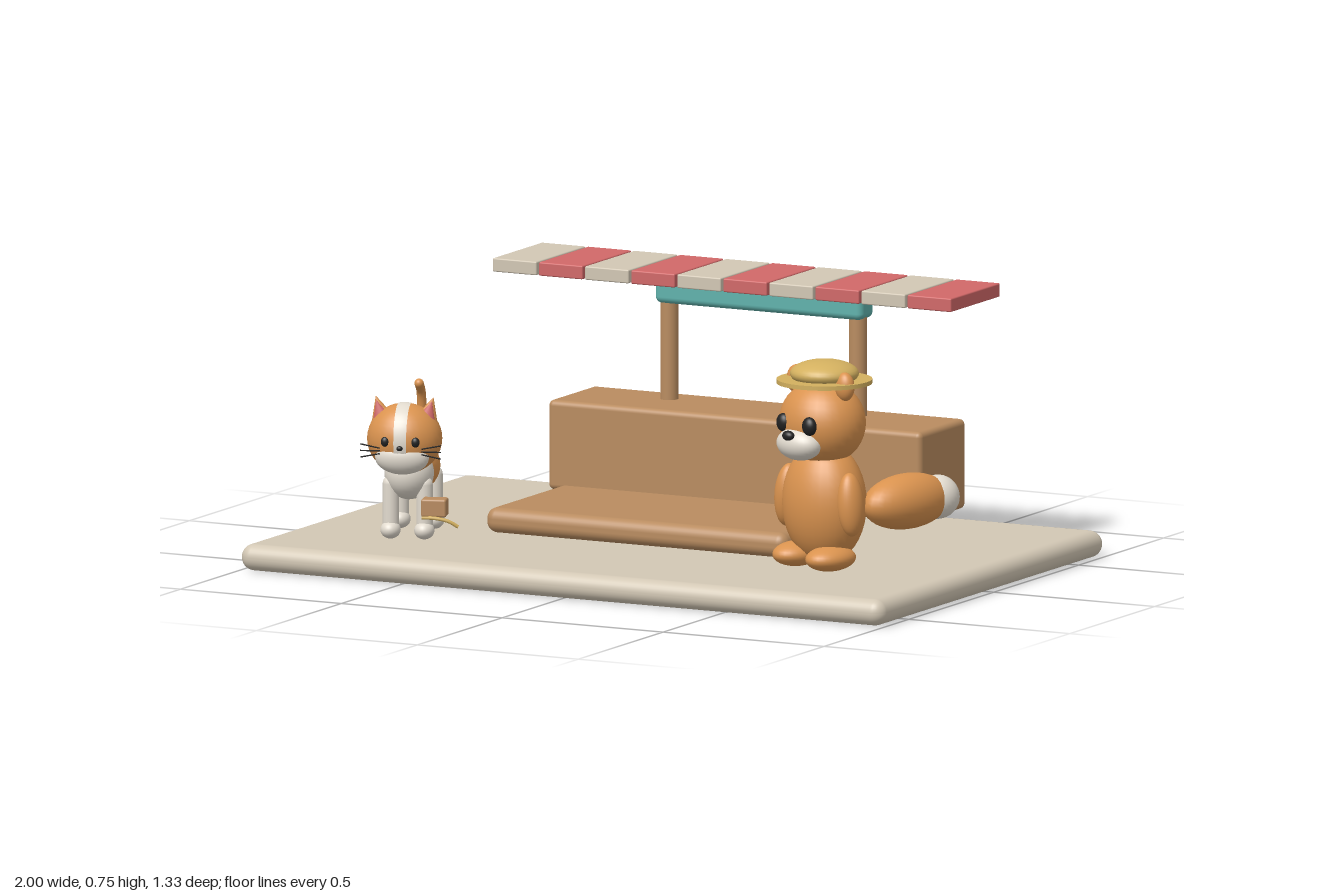
import * as THREE from 'three';
import { RoundedBoxGeometry } from 'three/addons/geometries/RoundedBoxGeometry.js';

const mat = (name, color) => {
  const m = new THREE.MeshStandardMaterial({ color });
  m.name = name;
  return m;
};
const M = {
  cream: mat('cream', 0xd2c7b4),
  wood: mat('wood', 0xb98c60),
  red: mat('coral red', 0xd16868),
  teal: mat('teal', 0x60b2ac),
  orange: mat('orange fur', 0xda934f),
  white: mat('white fur', 0xe2dbcf),
  straw: mat('straw', 0xd3b05f),
  black: mat('black', 0x222222),
};

function add(parent, name, geo, material, x, y, z) {
  const m = new THREE.Mesh(geo, material);
  m.name = name;
  m.position.set(x, y, z);
  parent.add(m);
  return m;
}
const rbox = (p, name, m, w, h, d, r, x, y, z) =>
  add(p, name, new RoundedBoxGeometry(w, h, d, 4, r), m, x, y, z);
const ball = (p, name, m, rx, ry, rz, x, y, z) =>
  add(p, name, new THREE.SphereGeometry(1, 32, 20).scale(rx, ry, rz), m, x, y, z);
const tube = (p, name, m, r, pts) =>
  add(p, name, new THREE.TubeGeometry(
    new THREE.CatmullRomCurve3(pts.map((a) => new THREE.Vector3(...a))), 24, r, 10), m, 0, 0, 0);

function group(name, x, z, yaw) {
  const g = new THREE.Group();
  g.name = name;
  g.position.set(x, 0, z);
  g.rotation.y = yaw;
  return g;
}

// Counter, posts, beam and striped awning
function stall() {
  const g = group('stall', 0, 0, 0);
  rbox(g, 'counter', M.wood, 1.16, 0.25, 0.27, 0.016, 0, 0.23, -0.5);
  for (const s of [-1, 1]) {
    add(g, 'post', new THREE.CylinderGeometry(0.025, 0.025, 0.59, 24), M.wood, s * 0.293, 0.37, -0.54);
  }
  rbox(g, 'beam', M.teal, 0.645, 0.09, 0.08, 0.018, 0, 0.67, -0.543);
  for (let i = 0; i < 10; i++) {
    rbox(g, 'awningSlat', i % 2 ? M.red : M.cream, 0.136, 0.038, 0.29, 0.004,
      (i - 4.5) * 0.1432, 0.732, -0.438);
  }
  return g;
}

// Plump standing animal with straw hat and bushy tail
function hatAnimal() {
  const g = group('hatAnimal', 0.64, 0.315, -0.3);
  ball(g, 'body', M.orange, 0.127, 0.17, 0.106, 0, 0.27, 0);
  ball(g, 'head', M.orange, 0.126, 0.118, 0.114, 0, 0.495, 0.008);
  ball(g, 'muzzle', M.white, 0.073, 0.046, 0.05, 0, 0.445, 0.098);
  ball(g, 'nose', M.black, 0.02, 0.014, 0.014, 0, 0.472, 0.14);
  for (const s of [-1, 1]) {
    ball(g, 'eye', M.black, 0.023, 0.026, 0.018, s * 0.05, 0.5, 0.108);
    ball(g, 'ear', M.orange, 0.03, 0.04, 0.024, s * 0.094, 0.605, 0.015);
    const arm = ball(g, 'arm', M.orange, 0.035, 0.088, 0.04, s * 0.122, 0.28, 0.02);
    arm.rotation.z = s * 0.08;
    ball(g, 'foot', M.orange, 0.058, 0.035, 0.08, s * 0.064, 0.126, 0.04);
  }
  ball(g, 'tail', M.orange, 0.076, 0.077, 0.155, 0.125, 0.265, -0.195);
  ball(g, 'tailTip', M.white, 0.06, 0.061, 0.062, 0.135, 0.265, -0.305);
  // straw hat
  add(g, 'hatBrim', new THREE.CylinderGeometry(0.132, 0.132, 0.012, 40), M.straw, 0, 0.609, 0);
  ball(g, 'hatCrown', M.straw, 0.095, 0.038, 0.095, 0, 0.63, 0);
  return g;
}

// Small four-legged cat carrying a little box
function cat() {
  const g = group('cat', -0.64, 0.31, 0.33);
  ball(g, 'body', M.orange, 0.07, 0.07, 0.13, 0, 0.265, -0.015);
  ball(g, 'chest', M.white, 0.068, 0.073, 0.075, 0, 0.262, 0.075);
  for (const s of [-1, 1]) {
    for (const z of [0.1, -0.075]) {
      add(g, 'leg', new THREE.CapsuleGeometry(0.023, 0.11, 6, 16), M.white, s * 0.047, 0.18, z);
      ball(g, 'paw', M.white, 0.028, 0.025, 0.032, s * 0.047, 0.108, z + 0.006);
    }
  }
  tube(g, 'tail', M.orange, 0.013, [[0, 0.28, -0.11], [0, 0.32, -0.143], [0, 0.4, -0.15],
    [0, 0.455, -0.135], [0, 0.482, -0.1]]);
  ball(g, 'tailEnd', M.orange, 0.013, 0.013, 0.013, 0, 0.482, -0.1);

  // head with a pale stripe and muzzle
  const h = group('catHead', 0, 0.155, 0);
  h.position.y = 0.372;
  g.add(h);
  ball(h, 'skull', M.orange, 0.104, 0.098, 0.09, 0, 0, 0);
  const stripe = new THREE.SphereGeometry(1, 40, 6, 0, Math.PI * 2, Math.PI / 2 - 0.17, 0.34);
  add(h, 'headStripe', stripe.rotateZ(Math.PI / 2).scale(0.105, 0.0995, 0.0915), M.white, 0, 0, 0);
  ball(h, 'muzzle', M.white, 0.075, 0.048, 0.042, 0, -0.045, 0.048);
  ball(h, 'nose', M.black, 0.009, 0.007, 0.007, 0, -0.014, 0.092);
  for (const s of [-1, 1]) {
    const ear = add(h, 'ear', new THREE.ConeGeometry(0.034, 0.07, 20).scale(1, 1, 0.6), M.orange,
      s * 0.07, 0.083, 0);
    ear.rotation.z = -s * 0.3;
    const inner = add(h, 'innerEar', new THREE.ConeGeometry(0.025, 0.054, 20).scale(1, 1, 0.5), M.red,
      s * 0.07, 0.081, 0.011);
    inner.rotation.z = -s * 0.3;
    ball(h, 'eye', M.black, 0.012, 0.014, 0.009, s * 0.042, 0.002, 0.08);
    for (let i = -1; i <= 1; i++) {
      const w = add(h, 'whisker', new THREE.CylinderGeometry(0.002, 0.002, 0.055, 6), M.black,
        s * 0.085, -0.025 + i * 0.013, 0.073);
      w.rotation.z = Math.PI / 2 + s * i * 0.2;
    }
  }

  // carried box with its strap
  rbox(g, 'carriedBox', M.wood, 0.07, 0.05, 0.05, 0.006, 0.082, 0.18, 0.145);
  tube(g, 'boxStrap', M.straw, 0.005, [[0.05, 0.153, 0.165], [0.09, 0.153, 0.172],
    [0.125, 0.145, 0.17], [0.15, 0.13, 0.165]]);
  return g;
}

export function createModel() {
  const model = new THREE.Group();
  model.name = 'marketScene';
  rbox(model, 'groundSlab', M.cream, 2, 0.074, 1.33, 0.036, 0, 0.037, 0);
  rbox(model, 'lowTable', M.wood, 0.935, 0.07, 0.455, 0.03, 0, 0.117, -0.004);
  model.add(stall(), hatAnimal(), cat());
  return model;
}
